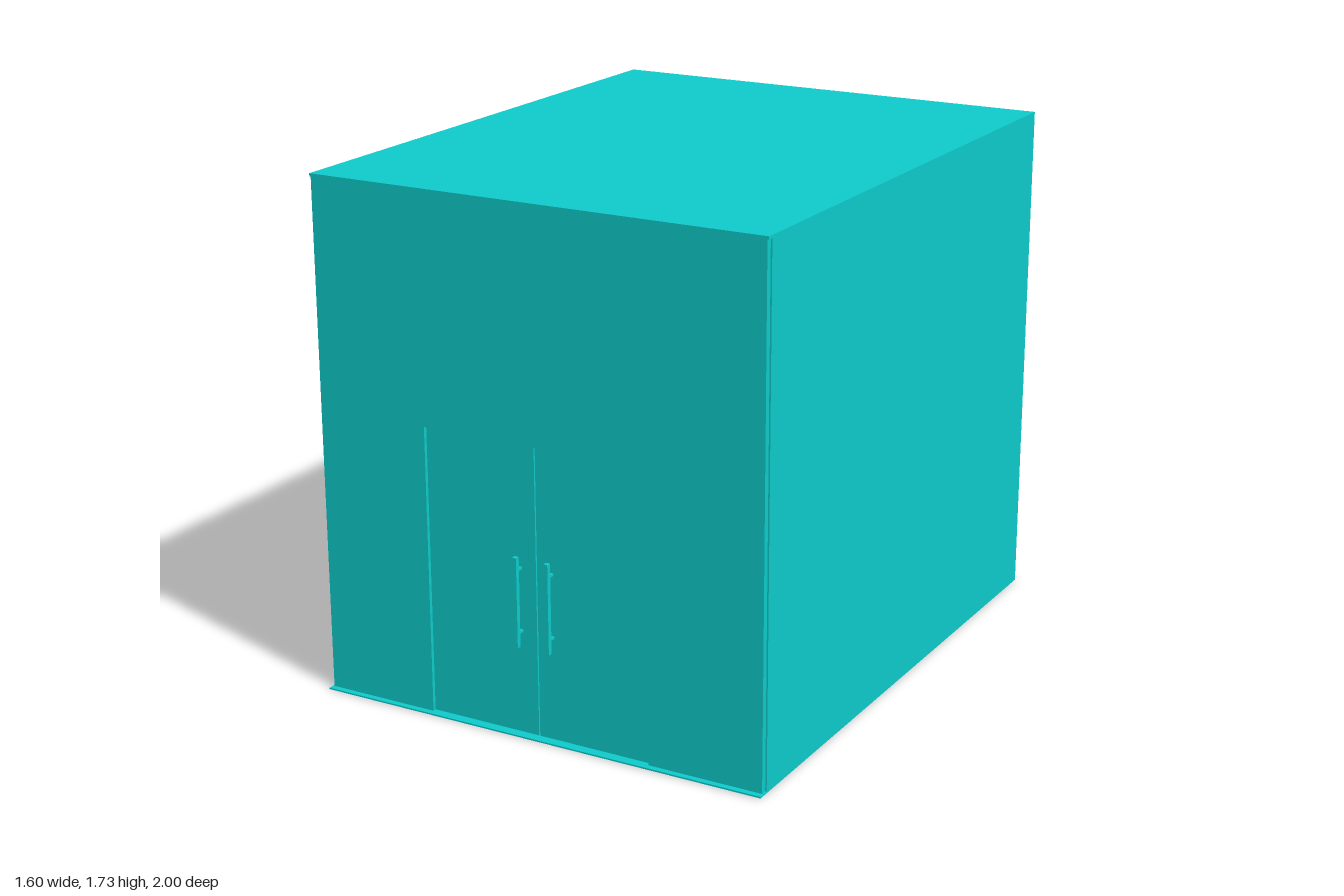
import * as THREE from 'three';

export function createModel() {
  const model = new THREE.Group();
  const paint = new THREE.MeshStandardMaterial({ color: 0x0fcccc });

  // Box given by its lower and upper corners
  function box(name, x0, x1, y0, y1, z0, z1, parent = model) {
    const mesh = new THREE.Mesh(new THREE.BoxGeometry(x1 - x0, y1 - y0, z1 - z0), paint);
    mesh.position.set((x0 + x1) / 2, (y0 + y1) / 2, (z0 + z1) / 2);
    mesh.name = name;
    parent.add(mesh);
    return mesh;
  }

  // Upright wall with a door-shaped notch at its foot
  function notchedWall(name, x0, x1, d0, d1, doorTop, z0, z1) {
    const corners = [[x0, 0.005], [d0, 0.005], [d0, doorTop], [d1, doorTop],
      [d1, 0.005], [x1, 0.005], [x1, 1.72], [x0, 1.72]];
    const shape = new THREE.Shape(corners.map(([x, y]) => new THREE.Vector2(x, y)));
    const geometry = new THREE.ExtrudeGeometry(shape, { depth: z1 - z0, bevelEnabled: false });
    const mesh = new THREE.Mesh(geometry, paint);
    mesh.position.z = z0;
    mesh.name = name;
    model.add(mesh);
  }

  // Floor, roof and the closed inner volume
  box('floor', -0.8, 0.8, 0, 0.005, -1, 0.99);
  box('roof', -0.8, 0.8, 1.72, 1.73, -1, 0.97);
  box('innerRoom', -0.79, 0.79, 0.005, 1.72, -0.935, 0.95);

  // Front wall around the double door
  notchedWall('frontWall', -0.795, 0.795, -0.4, 0.4, 0.97, 0.95, 0.97);

  // Back wall: raised centre, set-back sides, a small doorway in one corner
  box('backCentrePanel', -0.39, 0.39, 0.005, 1.72, -0.98, -0.935);
  box('backSidePanel', 0.39, 0.79, 0.005, 1.72, -0.955, -0.935);
  notchedWall('backDoorPanel', -0.79, -0.39, -0.785, -0.675, 0.72, -0.955, -0.935);

  for (const side of [-1, 1]) {
    const name = side > 0 ? 'left' : 'right';
    const span = (a, b) => (side > 0 ? [a, b] : [-b, -a]);

    // Thin side walls
    box(name + 'SideWall', ...span(0.79, 0.8), 0.005, 1.72, -1, 0.95);

    // Door leaf with a narrow gap at the middle
    box(name + 'DoorLeaf', ...span(0.002, 0.397), 0.008, 0.967, 0.95, 0.962);

    // Pull handle on two short mounts
    const handle = new THREE.Group();
    handle.name = name + 'DoorHandle';
    box('grip', ...span(0.05, 0.064), 0.31, 0.61, 0.984, 1, handle);
    for (const y of [0.355, 0.565]) {
      box('mount', ...span(0.053, 0.061), y - 0.004, y + 0.004, 0.96, 0.985, handle);
    }
    model.add(handle);
  }
  return model;
}
